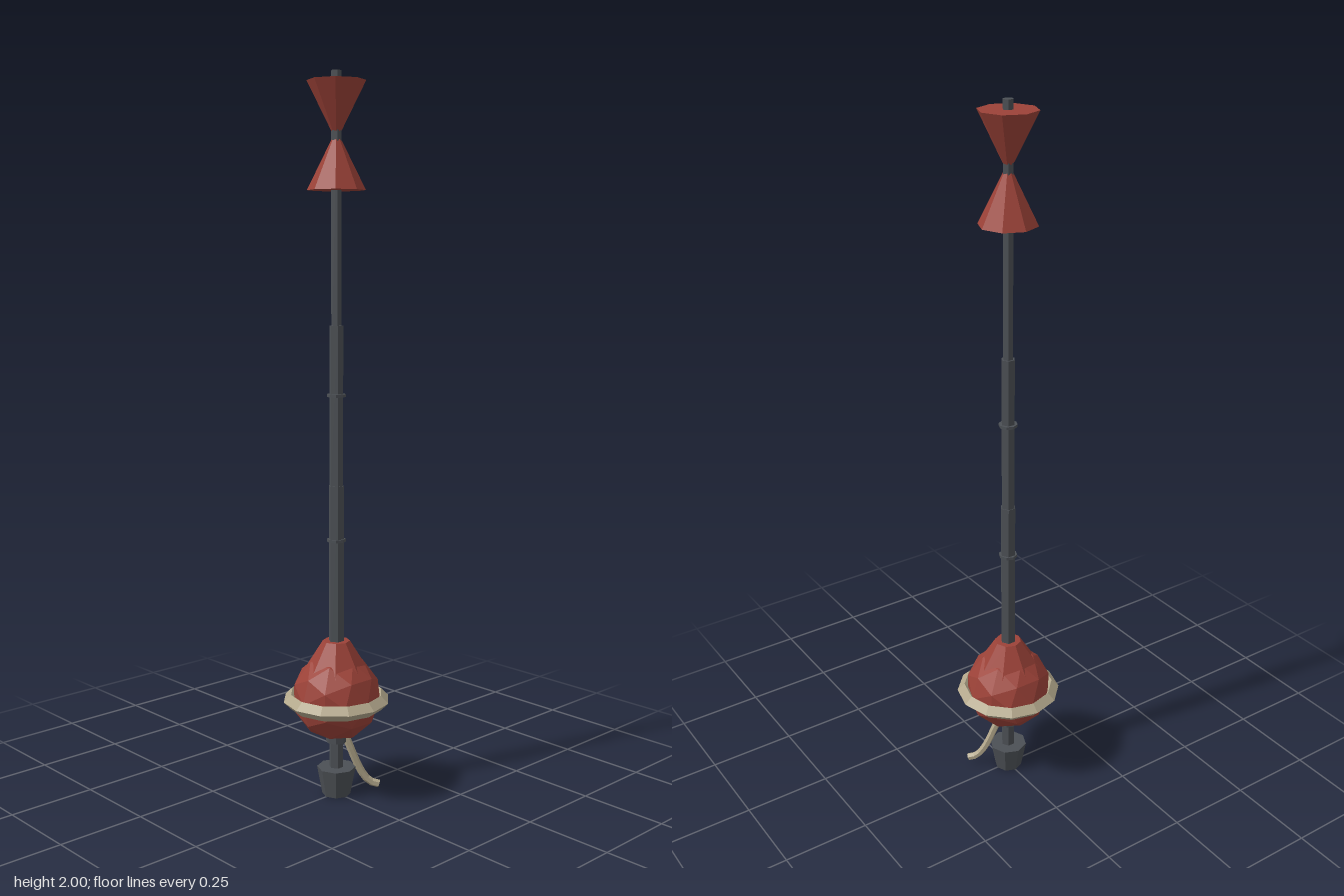
import * as THREE from 'three';

const paint = (color) => new THREE.MeshStandardMaterial({ color, flatShading: true });

export function createModel() {
  const buoy = new THREE.Group();
  buoy.name = 'markerBuoy';
  const red = paint(0x9c4238), steel = paint(0x4c5055), cream = paint(0xb3a88c);

  const add = (name, geometry, material, y = 0) => {
    const mesh = new THREE.Mesh(geometry, material);
    mesh.name = name;
    mesh.position.y = y;
    buoy.add(mesh);
    return mesh;
  };
  // Upright faceted frustum between two heights
  const frustum = (name, y0, y1, r0, r1, sides, material) =>
    add(name, new THREE.CylinderGeometry(r1, r0, y1 - y0, sides), material, (y0 + y1) / 2);

  // Ballast weight and its stem
  frustum('ballastWeight', 0, 0.08, 0.04, 0.055, 8, steel);
  frustum('ballastStem', 0.06, 0.3, 0.02, 0.02, 6, steel);
  frustum('stemCollar', 0.155, 0.18, 0.03, 0.03, 8, steel);

  // Float: faceted ball, shoulder cone and fender ring
  add('floatBall', new THREE.IcosahedronGeometry(0.126, 1), red, 0.29);
  frustum('floatShoulder', 0.34, 0.45, 0.107, 0.038, 8, red);
  const fender = add('fenderRing', new THREE.TorusGeometry(0.13, 0.021, 4, 12), cream, 0.28);
  fender.rotation.x = Math.PI / 2;

  // Telescopic mast in three sections, with joint rings
  const sections = [
    [0.4, 0.89, 0.022],
    [0.89, 1.33, 0.0195],
    [1.33, 2, 0.0145],
  ];
  sections.forEach(([y0, y1, r], i) => frustum('mastSection' + (i + 1), y0, y1, r, r, 6, steel));
  for (const y of [0.737, 1.14]) frustum('mastRing', y - 0.004, y + 0.004, 0.026, 0.026, 8, steel);

  // Topmark: two cones meeting point to point
  frustum('topmarkLowerCone', 1.69, 1.84, 0.079, 0.004, 8, red);
  frustum('topmarkUpperCone', 1.825, 1.975, 0.004, 0.079, 8, red);

  // Mooring rope trailing from under the float
  const path = new THREE.CatmullRomCurve3([
    new THREE.Vector3(0.012, 0.19, -0.015),
    new THREE.Vector3(0.023, 0.14, -0.03),
    new THREE.Vector3(0.041, 0.06, -0.06),
    new THREE.Vector3(0.055, 0.03, -0.08),
    new THREE.Vector3(0.07, 0.021, -0.1),
  ]);
  add('mooringRope', new THREE.TubeGeometry(path, 10, 0.011, 6), cream);
  // Closed rope end
  const cap = add('ropeEnd', new THREE.CircleGeometry(0.011, 6), cream);
  cap.position.copy(path.getPoint(1));
  cap.lookAt(path.getPoint(1).add(path.getTangent(1)));

  return buoy;
}
